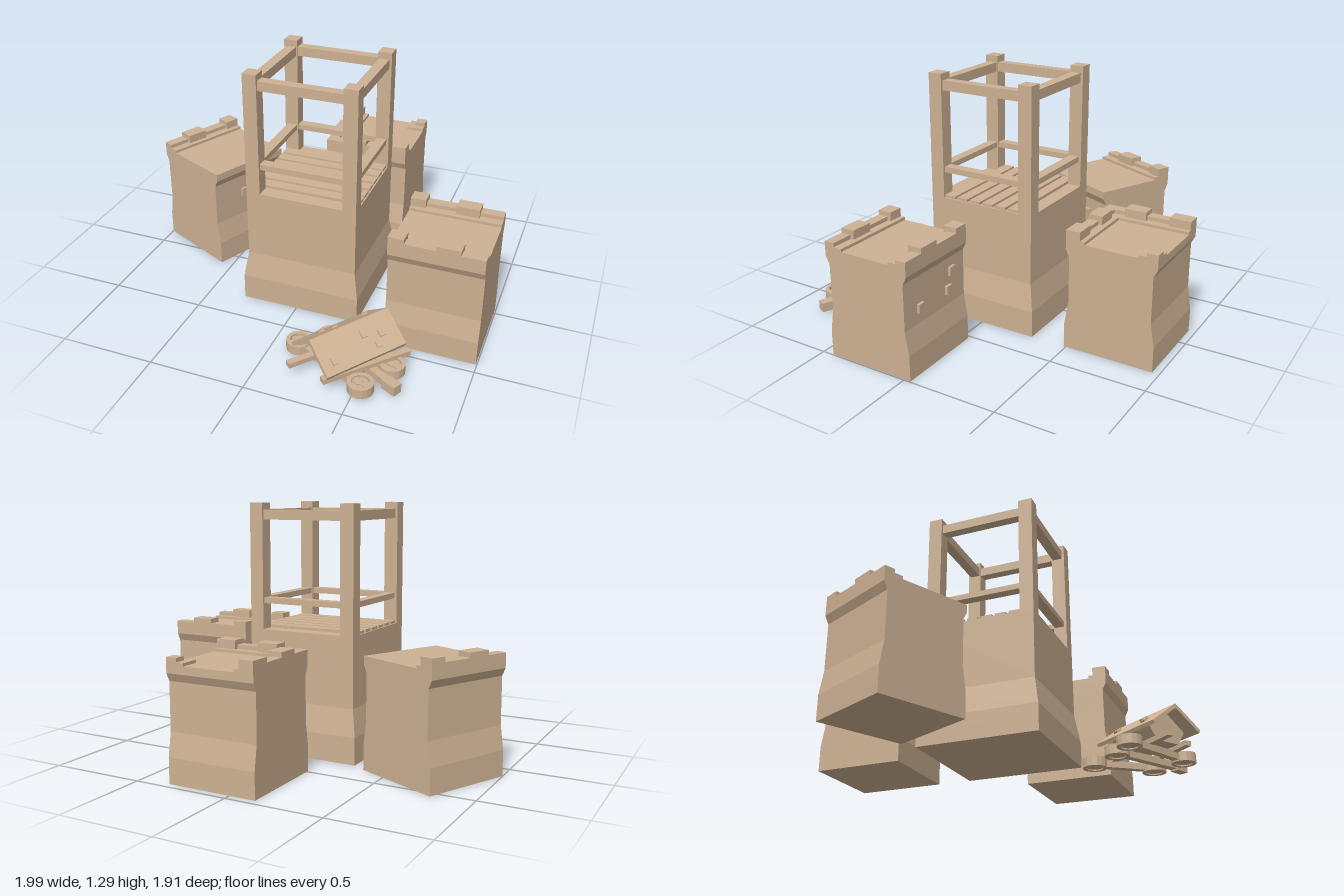
import * as THREE from 'three';

const sand = new THREE.MeshStandardMaterial({ color: 0xcdb193, flatShading: true });
sand.name = 'sand';

function add(parent, name, geometry, x = 0, y = 0, z = 0) {
  const mesh = new THREE.Mesh(geometry, sand);
  mesh.name = name;
  mesh.position.set(x, y, z);
  parent.add(mesh);
  return mesh;
}

// Box given by its limits on each axis
function block(parent, name, x0, x1, y0, y1, z0, z1) {
  return add(parent, name, new THREE.BoxGeometry(x1 - x0, y1 - y0, z1 - z0),
    (x0 + x1) / 2, (y0 + y1) / 2, (z0 + z1) / 2);
}

function subgroup(parent, name, x = 0, z = 0, turn = 0) {
  const group = new THREE.Group();
  group.name = name;
  group.position.set(x, 0, z);
  group.rotation.y = turn;
  parent.add(group);
  return group;
}

// Open watchtower: flared base, slatted floor, posts and rails
function watchtower(parent) {
  const tower = subgroup(parent, 'watchtower', 0.02, 0.015);
  const outline = [[0, 0], [0.32, 0], [0.32, 0.14], [0.297, 0.28], [0.297, 0.645], [0, 0.645]]
    .map(([r, y]) => new THREE.Vector2(r * Math.SQRT2, y));
  add(tower, 'towerBase', new THREE.LatheGeometry(outline, 4, Math.PI / 4));
  for (let i = 0; i < 6; i++) {
    const z = (i - 2.5) * 0.076;
    block(tower, 'floorSlat', -0.29, 0.29, 0.64, 0.66, z - 0.03, z + 0.03);
  }
  for (const sx of [-1, 1]) for (const sz of [-1, 1]) {
    add(tower, 'cornerPost', new THREE.BoxGeometry(0.074, 0.65, 0.074), sx * 0.26, 0.97, sz * 0.26);
  }
  for (const [y0, y1] of [[0.78, 0.81], [1.21, 1.26]]) for (const s of [-1, 1]) {
    const c = s * 0.257;
    block(tower, 'rail', -0.225, 0.225, y0, y1, c - 0.027, c + 0.027);
    block(tower, 'rail', c - 0.027, c + 0.027, y0, y1, -0.225, 0.225);
  }
}

const HALF = 0.2375;

// House with pinched front and back walls
function house(parent, x, z, turn, windows) {
  const group = subgroup(parent, 'house', x, z, turn);
  const side = [[HALF, 0], [HALF, 0.13], [0.2175, 0.25], [0.2175, 0.49], [HALF, 0.53], [HALF, 0.57]];
  const points = [...side, ...side.map(([a, y]) => [-a, y]).reverse()];
  const shape = new THREE.Shape(points.map(([a, y]) => new THREE.Vector2(a, y)));
  const walls = new THREE.ExtrudeGeometry(shape, { depth: 2 * HALF, bevelEnabled: false });
  walls.translate(0, 0, -HALF).rotateY(Math.PI / 2);
  add(group, 'houseWalls', walls);
  for (const [wx, wy] of windows) {
    add(group, 'windowBlock', new THREE.BoxGeometry(0.042, 0.045, 0.03), wx, wy, -0.2175);
  }
  return group;
}

// Stepped parapet with merlons along one roof edge
function parapet(parent, turn, merlons) {
  const edge = subgroup(parent, 'parapet', 0, 0, turn);
  block(edge, 'parapetLedge', -HALF, HALF, 0.56, 0.585, HALF - 0.1, HALF);
  block(edge, 'parapetWall', -HALF, HALF, 0.56, 0.605, HALF - 0.055, HALF);
  for (const [x0, x1] of merlons) {
    block(edge, 'merlon', x0, x1, 0.56, 0.63, HALF - 0.075, HALF);
  }
}

// Flat octagonal wheel with rim, hub and spoke
function wheel(parent, x, z) {
  const group = subgroup(parent, 'wheel', x, z, 0.3);
  const rim = new THREE.Shape().absarc(0, 0, 0.065, 0, Math.PI * 2);
  rim.holes.push(new THREE.Path().absarc(0, 0, 0.044, 0, Math.PI * 2, true));
  const ring = new THREE.ExtrudeGeometry(rim, { depth: 0.05, bevelEnabled: false, curveSegments: 8 });
  ring.rotateX(-Math.PI / 2);
  add(group, 'wheelRim', ring, 0, 0.015, 0);
  add(group, 'wheelHub', new THREE.CylinderGeometry(0.046, 0.046, 0.03, 8), 0, 0.036, 0);
  add(group, 'wheelSpoke', new THREE.BoxGeometry(0.1, 0.012, 0.022), 0, 0.052, 0);
}

// Bar between two ground points
function bar(parent, name, [x0, z0], [x1, z1], y, w, h) {
  const length = Math.hypot(x1 - x0, z1 - z0);
  const mesh = add(parent, name, new THREE.BoxGeometry(w, h, length), (x0 + x1) / 2, y, (z0 + z1) / 2);
  mesh.rotation.y = Math.atan2(x1 - x0, z1 - z0);
}

// Roofed cart standing low on flat wheels
function cart(parent) {
  const group = subgroup(parent, 'roofedCart', 0.417, 0.675, -0.621);
  const axles = [
    [[-0.239, 0.134], [0.182, 0.06]],
    [[-0.191, -0.023], [0.25, -0.06]],
    [[-0.161, -0.247], [0.159, -0.144]],
  ];
  axles.forEach(([a, b], i) => {
    bar(group, 'axle', a, b, 0.04, 0.04, 0.036);
    wheel(group, ...a);
    if (i !== 1) wheel(group, ...b);
  });
  bar(group, 'axleEnd', [0.22, -0.055], [0.3, -0.068], 0.038, 0.05, 0.05);
  bar(group, 'pole', [-0.104, 0.284], [-0.06, -0.27], 0.068, 0.035, 0.026);
  bar(group, 'pole', [0.08, 0.21], [0.135, -0.263], 0.068, 0.035, 0.026);

  // Body that widens toward the eaves
  const body = new THREE.Shape([[-0.07, 0.075], [0.07, 0.075], [0.115, 0.145], [0, 0.235], [-0.115, 0.145]]
    .map(([x, y]) => new THREE.Vector2(x, y)));
  const bodyGeometry = new THREE.ExtrudeGeometry(body, { depth: 0.3, bevelEnabled: false });
  add(group, 'cartBody', bodyGeometry, 0, 0, -0.15);

  // Folded roof
  const fold = new THREE.Shape([[0, 0.26], [-0.155, 0.145], [-0.147, 0.127], [0, 0.236], [0.147, 0.127], [0.155, 0.145]]
    .map(([x, y]) => new THREE.Vector2(x, y)));
  const roof = new THREE.ExtrudeGeometry(fold, { depth: 0.455, bevelEnabled: false });
  add(group, 'cartRoof', roof, 0, 0, -0.2275);

  // Raised shingles
  const slope = Math.atan2(0.115, 0.155);
  for (const [x, z] of [[0.08, -0.13], [0.115, -0.09], [0.06, -0.04], [0.11, 0.16],
    [-0.1, 0.1], [-0.06, 0.05], [-0.08, -0.14]]) {
    const tile = add(group, 'shingle', new THREE.BoxGeometry(0.034, 0.016, 0.03),
      x, 0.262 - Math.abs(x) * 0.742, z);
    tile.rotation.z = -Math.sign(x) * slope;
  }
}

export function createModel() {
  const model = new THREE.Group();
  model.name = 'desertOutpost';
  watchtower(model);

  const merlons = [[-HALF, -0.157], [0, 0.12]];
  const mirrored = merlons.map(([a, b]) => [-b, -a]);

  const east = house(model, 0.757, 0.203, 0, [[0.12, 0.33], [-0.13, 0.42], [-0.1, 0.33]]);
  parapet(east, 0, merlons);
  parapet(east, Math.PI, mirrored);

  const north = house(model, 0.1, -0.726, 0, []);
  parapet(north, 0, [[-0.11, 0], [0.13, HALF]]);
  parapet(north, -Math.PI / 2, [[-HALF, -0.125], [0, 0.115]]);
  block(north, 'cornerLedge', 0.14, HALF, 0.56, 0.585, -HALF, -0.14);
  block(north, 'cornerMerlon', 0.18, HALF, 0.56, 0.605, -HALF, -0.18);

  const west = house(model, -0.683, -0.23, THREE.MathUtils.degToRad(-115),
    [[0.036, 0.39], [-0.083, 0.405], [-0.048, 0.32]]);
  parapet(west, 0, merlons);

  cart(model);
  return model;
}
